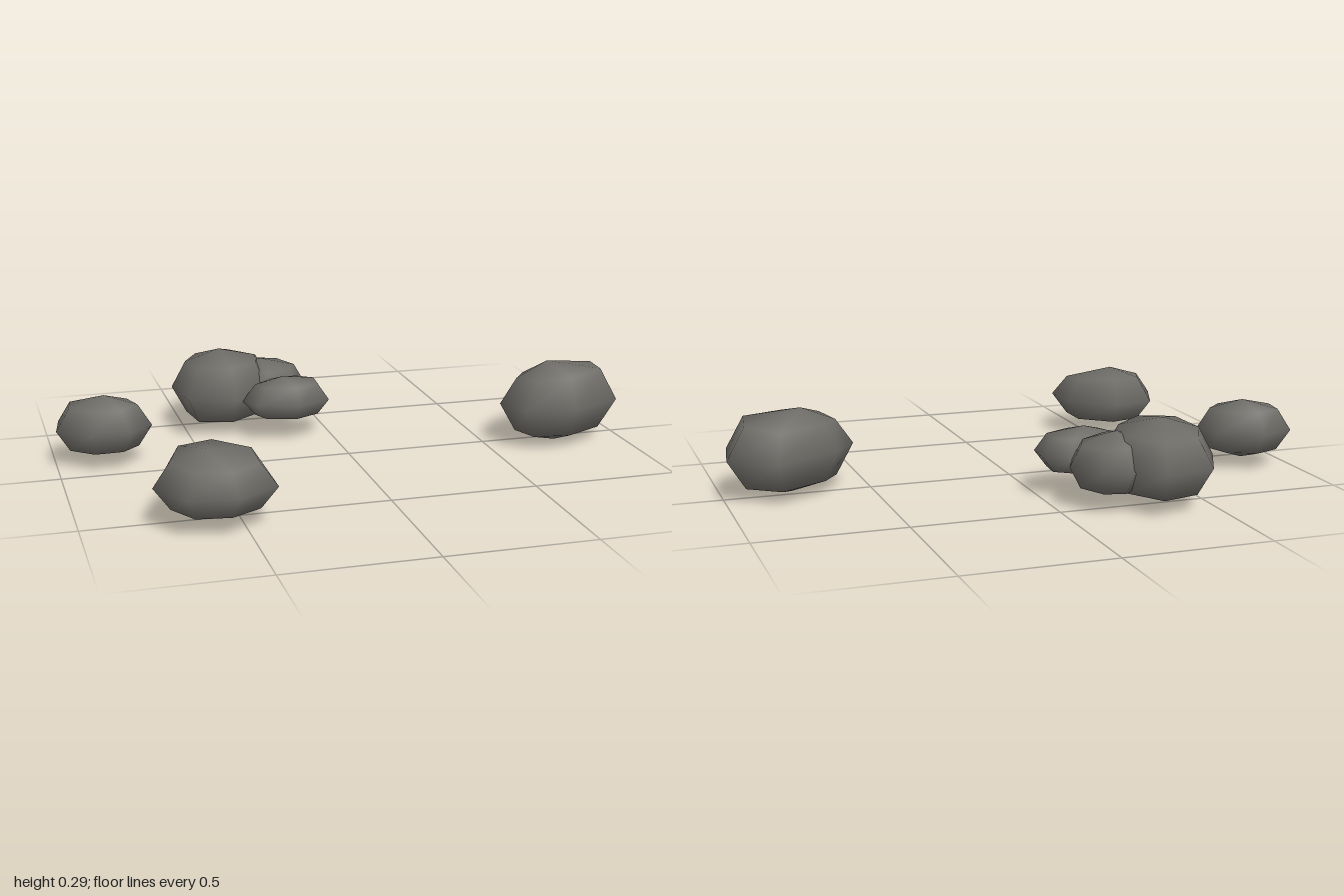
import * as THREE from 'three';

// Each rock: seven-sided waist outline [x, z] (clockwise from the back), crown and base points
// [x, y, z], waist height, and the slope of the upper ring along x and z.
const ROCKS = [
  { name: 'smallLeftRock', waist: 0.135, top: [-0.83, 0.24, -0.14], base: [-0.83, 0.03, -0.14], tilt: [0, 0],
    outline: [[-0.85, -0.28], [-0.71, -0.205], [-0.675, -0.093], [-0.76, -0.013], [-0.895, -0.008], [-1, -0.1], [-0.98, -0.227]] },
  { name: 'frontLeftRock', waist: 0.135, top: [-0.61, 0.245, 0.55], base: [-0.6, 0.028, 0.55], tilt: [0, -0.08],
    outline: [[-0.553, 0.339], [-0.404, 0.467], [-0.404, 0.643], [-0.543, 0.723], [-0.698, 0.7], [-0.778, 0.557], [-0.709, 0.381]] },
  { name: 'largeRightRock', waist: 0.15, top: [0.73, 0.29, 0.02], base: [0.76, 0, 0.04], tilt: [0.07, 0.07],
    outline: [[0.848, -0.19], [0.997, -0.083], [0.97, 0.099], [0.773, 0.2], [0.596, 0.173], [0.548, 0.04], [0.623, -0.061]] },
  { name: 'largeBackRock', waist: 0.15, top: [-0.36, 0.285, -0.49], base: [-0.36, 0.01, -0.48], tilt: [0, 0.05],
    outline: [[-0.27, -0.728], [-0.16, -0.55], [-0.2, -0.36], [-0.345, -0.248], [-0.51, -0.3], [-0.537, -0.5], [-0.452, -0.68]] },
  { name: 'clusterSideRock', waist: 0.14, top: [-0.21, 0.245, -0.46], base: [-0.21, 0.035, -0.46], tilt: [-0.05, 0],
    outline: [[-0.2, -0.63], [-0.1, -0.605], [-0.04, -0.475], [-0.09, -0.37], [-0.22, -0.3], [-0.31, -0.4], [-0.28, -0.55]] },
  { name: 'clusterFrontRock', waist: 0.138, top: [-0.17, 0.223, -0.27], base: [-0.15, 0.06, -0.27], tilt: [0, 0],
    outline: [[-0.08, -0.385], [-0.005, -0.328], [-0.013, -0.216], [-0.136, -0.152], [-0.28, -0.195], [-0.318, -0.28], [-0.22, -0.36]] },
];

// Smooth rock: crown point, upper ring, waist, lower ring, base point
function rockGeometry({ outline, waist, top, base, tilt }) {
  const n = outline.length;
  const cx = outline.reduce((s, p) => s + p[0], 0) / n;
  const cz = outline.reduce((s, p) => s + p[1], 0) / n;
  const positions = [...top];
  const addRing = (scale, y, [sx, sz]) => {
    for (const [x, z] of outline) {
      const dx = (x - cx) * scale, dz = (z - cz) * scale;
      positions.push(cx + dx, y + dx * sx + dz * sz, cz + dz);
    }
  };
  addRing(0.72, waist + (top[1] - waist) * 0.7, tilt);
  addRing(1, waist, [0, 0]);
  addRing(0.72, waist + (base[1] - waist) * 0.7, [0, 0]);
  positions.push(...base);

  const index = [];
  const last = 1 + 3 * n;
  for (let i = 0; i < n; i++) {
    const j = (i + 1) % n;
    index.push(0, 1 + j, 1 + i);
    for (let r = 0; r < 2; r++) {
      const u = 1 + r * n, l = u + n;
      index.push(u + i, u + j, l + j, u + i, l + j, l + i);
    }
    index.push(last - n + i, last - n + j, last);
  }
  const geometry = new THREE.BufferGeometry();
  geometry.setAttribute('position', new THREE.Float32BufferAttribute(positions, 3));
  geometry.setIndex(index);
  geometry.computeVertexNormals();
  return geometry;
}

export function createModel() {
  const group = new THREE.Group();
  group.name = 'rocks';
  const stone = new THREE.MeshStandardMaterial({ color: 0x6e6c67 });
  stone.name = 'stone grey';
  for (const rock of ROCKS) {
    const mesh = new THREE.Mesh(rockGeometry(rock), stone);
    mesh.name = rock.name;
    group.add(mesh);
  }
  return group;
}
